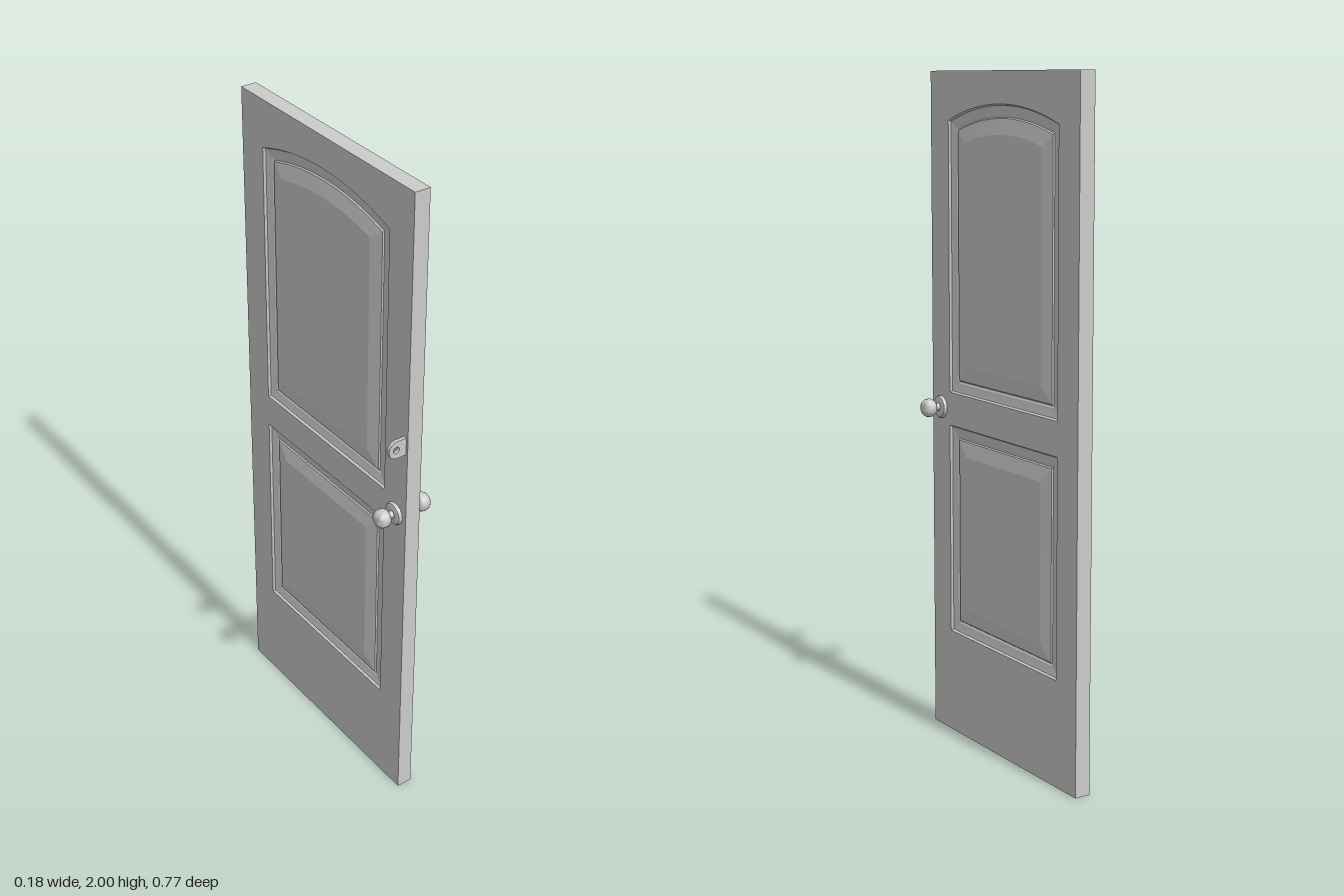
import * as THREE from 'three';
import { toCreasedNormals } from 'three/addons/utils/BufferGeometryUtils.js';

const HALF = 0.0237;      // half the door thickness
const DEPTH = 0.77;       // door width along z
const KNOB_Z = 0.336, KNOB_Y = 1.005;
const PANEL_W = 0.286;    // half width of both panel recesses

const material = new THREE.MeshStandardMaterial({ color: 0xcccccc });

function mesh(name, geometry, crease = 0.5) {
  const m = new THREE.Mesh(toCreasedNormals(geometry, crease), material);
  m.name = name;
  return m;
}

// Panel outline, counter-clockwise, moved inwards by inset; rise > 0 gives an arched top
function outline({ bottom, top, rise }, inset) {
  const w = PANEL_W - inset, steps = rise ? 24 : 1;
  const radius = rise ? (PANEL_W ** 2 + rise ** 2) / (2 * rise) : 0;
  const points = [new THREE.Vector2(-w, bottom + inset), new THREE.Vector2(w, bottom + inset)];
  for (let i = 0; i <= steps; i++) {
    const u = w - (2 * w * i) / steps;
    const y = rise
      ? top - radius + Math.sqrt((radius - inset) ** 2 - u * u)
      : top - inset;
    points.push(new THREE.Vector2(u, y));
  }
  return points;
}

// Moulded groove and raised field: [inset, depth below the door face]
const MOULDING = [
  [0, 0], [0.004, 0.007], [0.008, 0.008], [0.03, 0.011],
  [0.034, 0.013], [0.037, 0.013], [0.04, 0.009], [0.085, 0.002],
];

function panelGeometry(panel) {
  const positions = [], index = [];
  let n = 0;
  MOULDING.forEach(([inset, depth], k) => {
    const loop = outline(panel, inset);
    n = loop.length;
    loop.forEach((p) => positions.push(p.x, p.y, HALF - depth));
    if (k === 0) return;
    for (let j = 0; j < n; j++) {
      const a = (k - 1) * n + j, b = (k - 1) * n + ((j + 1) % n);
      index.push(a, b, b + n, a, b + n, a + n);
    }
  });
  // Flat field in the middle
  const base = (MOULDING.length - 1) * n, centre = positions.length / 3;
  positions.push(0, (panel.bottom + panel.top) / 2, HALF - MOULDING.at(-1)[1]);
  for (let j = 0; j < n; j++) index.push(base + j, base + ((j + 1) % n), centre);
  const g = new THREE.BufferGeometry();
  g.setAttribute('position', new THREE.Float32BufferAttribute(positions, 3));
  g.setIndex(index);
  return g;
}

// Rosette, neck and rounded grip turned about one axis: [radius, distance from the face]
function knobGeometry() {
  const profile = [
    [0.034, -0.002], [0.034, 0.004], [0.031, 0.009], [0.026, 0.011], [0.012, 0.011],
    [0.010, 0.014], [0.010, 0.024], [0.016, 0.025], [0.023, 0.029], [0.027, 0.036],
    [0.028, 0.044], [0.026, 0.054], [0.021, 0.061], [0.014, 0.065], [0, 0.0655],
  ].map(([r, d]) => new THREE.Vector2(r, d));
  return new THREE.LatheGeometry(profile, 16);
}

// Rounded lug with a hole, standing out from the -x face
function lugGeometry() {
  const r = 0.027, cx = -0.053;
  const shape = new THREE.Shape();
  shape.moveTo(-HALF + 0.001, -r);
  shape.lineTo(-HALF + 0.001, r);
  shape.lineTo(cx, r);
  shape.absarc(cx, 0, r, Math.PI / 2, Math.PI * 1.5, false);
  shape.closePath();
  const hole = new THREE.Path();
  hole.absarc(cx - 0.003, 0, 0.01, 0, Math.PI * 2, true);
  shape.holes.push(hole);
  return new THREE.ExtrudeGeometry(shape, { depth: 0.011, bevelEnabled: false, curveSegments: 10 });
}

export function createModel() {
  const group = new THREE.Group();
  group.name = 'door';

  const panels = [
    { name: 'lowerPanel', bottom: 0.316, top: 0.956, rise: 0 },
    { name: 'upperPanel', bottom: 1.056, top: 1.908, rise: 0.05 },
  ];

  // Door frame with openings for the panels
  const leaf = new THREE.Shape([
    new THREE.Vector2(-DEPTH / 2, 0), new THREE.Vector2(DEPTH / 2, 0),
    new THREE.Vector2(DEPTH / 2, 2), new THREE.Vector2(-DEPTH / 2, 2),
  ]);
  panels.forEach((p) => leaf.holes.push(new THREE.Path(outline(p, 0).reverse())));
  const frame = new THREE.ExtrudeGeometry(leaf, { depth: HALF * 2, bevelEnabled: false });
  frame.translate(0, 0, -HALF).rotateY(Math.PI / 2);
  group.add(mesh('doorFrame', frame));

  // Panels and knobs on both faces
  for (const side of [1, -1]) {
    const label = side > 0 ? 'Left' : 'Right';
    for (const p of panels) {
      const panel = mesh(p.name + label, panelGeometry(p), 0.12);
      panel.rotation.y = (side * Math.PI) / 2;
      group.add(panel);
    }
    const knob = mesh('knob' + label, knobGeometry(), 0.6);
    knob.rotation.z = (-side * Math.PI) / 2;
    knob.position.set(side * HALF, KNOB_Y, KNOB_Z);
    group.add(knob);
  }

  // Lock lug
  const lug = mesh('lockLug', lugGeometry());
  lug.position.set(0, 1.25, 0.367);
  group.add(lug);

  return group;
}
